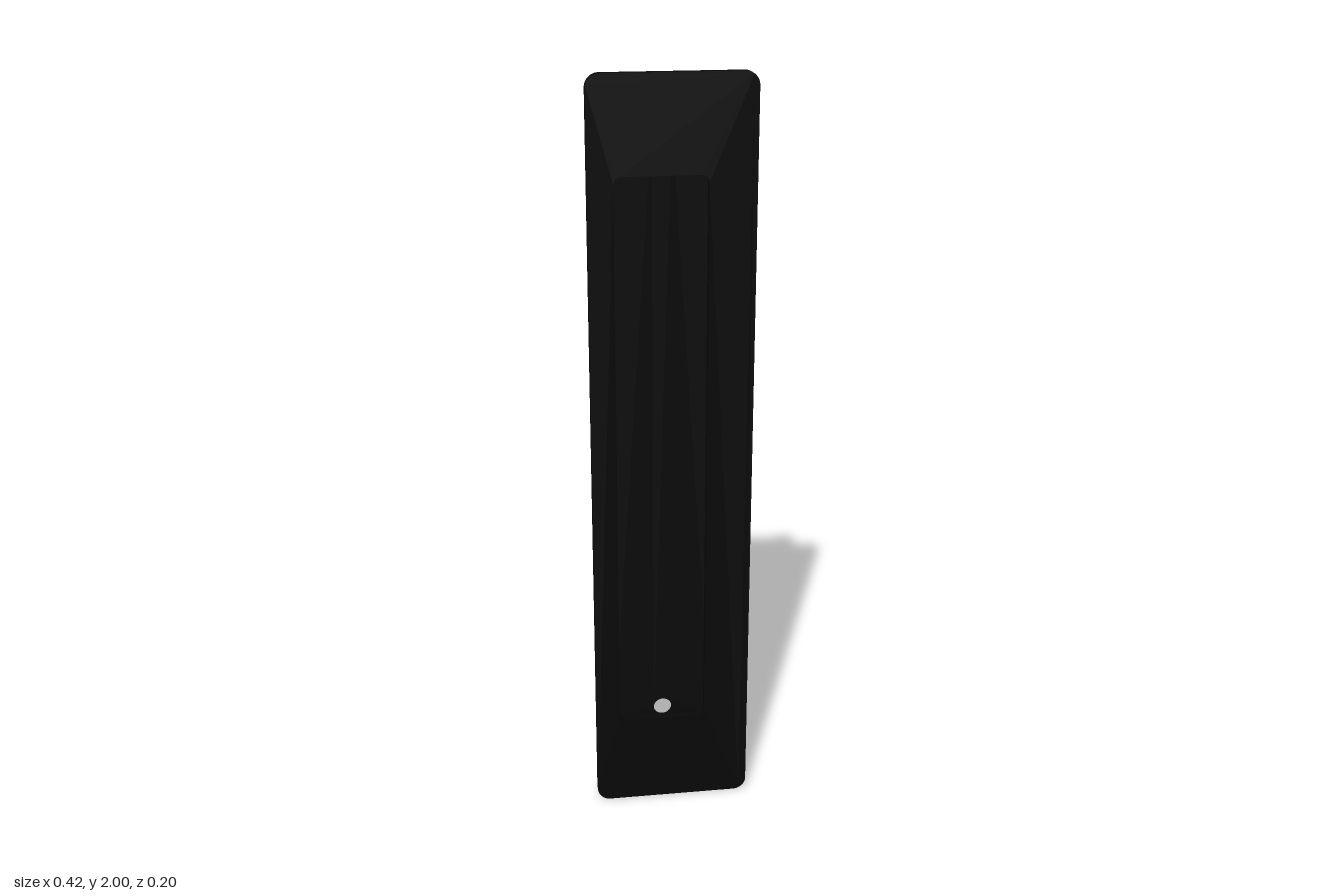
import * as THREE from 'three';
import { toCreasedNormals } from 'three/addons/utils/BufferGeometryUtils.js';

const black = new THREE.MeshStandardMaterial({ color: 0x080808 });

const T = 0.007;         // sheet thickness
const R = 0.015;         // outer bend radius
const BACK = -0.1;       // rear face of the tray
const PLATE_BACK = 0.08; // rear face of the front plate
const HALF_W = 0.155, HALF_H = 0.88, MID_Y = 1.005;

function roundedRect(path, x0, y0, x1, y1, r) {
  path.absarc(x1 - r, y0 + r, r, -Math.PI / 2, 0, false);
  path.absarc(x1 - r, y1 - r, r, 0, Math.PI / 2, false);
  path.absarc(x0 + r, y1 - r, r, Math.PI / 2, Math.PI, false);
  path.absarc(x0 + r, y0 + r, r, Math.PI, Math.PI * 1.5, false);
  path.closePath();
  return path;
}

function rect(x0, y0, x1, y1) {
  return new THREE.Shape([[x0, y0], [x1, y0], [x1, y1], [x0, y1]].map(p => new THREE.Vector2(...p)));
}

function roundHole(x, y, r) {
  return new THREE.Path().absarc(x, y, r, 0, Math.PI * 2, true);
}

function extrude(shape, depth) {
  const g = new THREE.ExtrudeGeometry(shape, { depth, bevelEnabled: false, curveSegments: 12 });
  return toCreasedNormals(g, 0.6);
}

function mesh(name, geometry) {
  const m = new THREE.Mesh(geometry, black);
  m.name = name;
  return m;
}

// One folded wall of the tray, lying at distance d along local +y
function foldedWall(name, d, bendLength, wallLength, holeRadius) {
  const group = new THREE.Group();
  group.name = name;

  const flat = rect(-wallLength / 2, BACK + R, wallLength / 2, PLATE_BACK);
  if (holeRadius) flat.holes.push(roundHole(0, -0.003, holeRadius));
  const wall = extrude(flat, T);
  wall.rotateX(Math.PI / 2).translate(0, d, 0);
  group.add(mesh(name + 'Panel', wall));

  const arc = new THREE.Shape();
  arc.absarc(0, 0, R, 0, Math.PI / 2, false);
  arc.absarc(0, 0, R - T, Math.PI / 2, 0, true);
  arc.closePath();
  const bend = extrude(arc, bendLength);
  bend.rotateY(Math.PI / 2).translate(-bendLength / 2, d - R, BACK + R);
  group.add(mesh(name + 'Bend', bend));
  return group;
}

export function createModel() {
  const model = new THREE.Group();
  model.name = 'flushPull';

  // Front plate, with the grip opening set to one side to leave a finger lip
  const plate = roundedRect(new THREE.Shape(), -0.21, 0, 0.21, 2, 0.035);
  plate.holes.push(roundedRect(new THREE.Path(), -0.145, 0.25, 0.09, 1.755, 0.02));
  const plateGeo = extrude(plate, 0.02);
  plateGeo.translate(0, 0, PLATE_BACK);
  model.add(mesh('frontPlate', plateGeo));

  // Folded sheet tray behind the plate
  const tray = new THREE.Group();
  tray.name = 'tray';
  tray.position.y = MID_Y;
  model.add(tray);

  const w = HALF_W - R, h = HALF_H - R;
  const back = rect(-w, -h, w, h);
  for (const s of [-1, 1]) back.holes.push(roundHole(0, s * 0.835, 0.026));
  const backGeo = extrude(back, T);
  backGeo.translate(0, 0, BACK);
  tray.add(mesh('trayBack', backGeo));

  // Side walls run full height; the end walls fit between with a fine gap
  ['top', 'left', 'bottom', 'right'].forEach((side, i) => {
    const isEnd = i % 2 === 0;
    const wall = isEnd
      ? foldedWall(side + 'Wall', HALF_H, 2 * w, 0.293, 0.01)
      : foldedWall(side + 'Wall', HALF_W, 2 * h, 2 * HALF_H, 0);
    wall.rotation.z = -i * Math.PI / 2;
    tray.add(wall);
  });

  return model;
}
